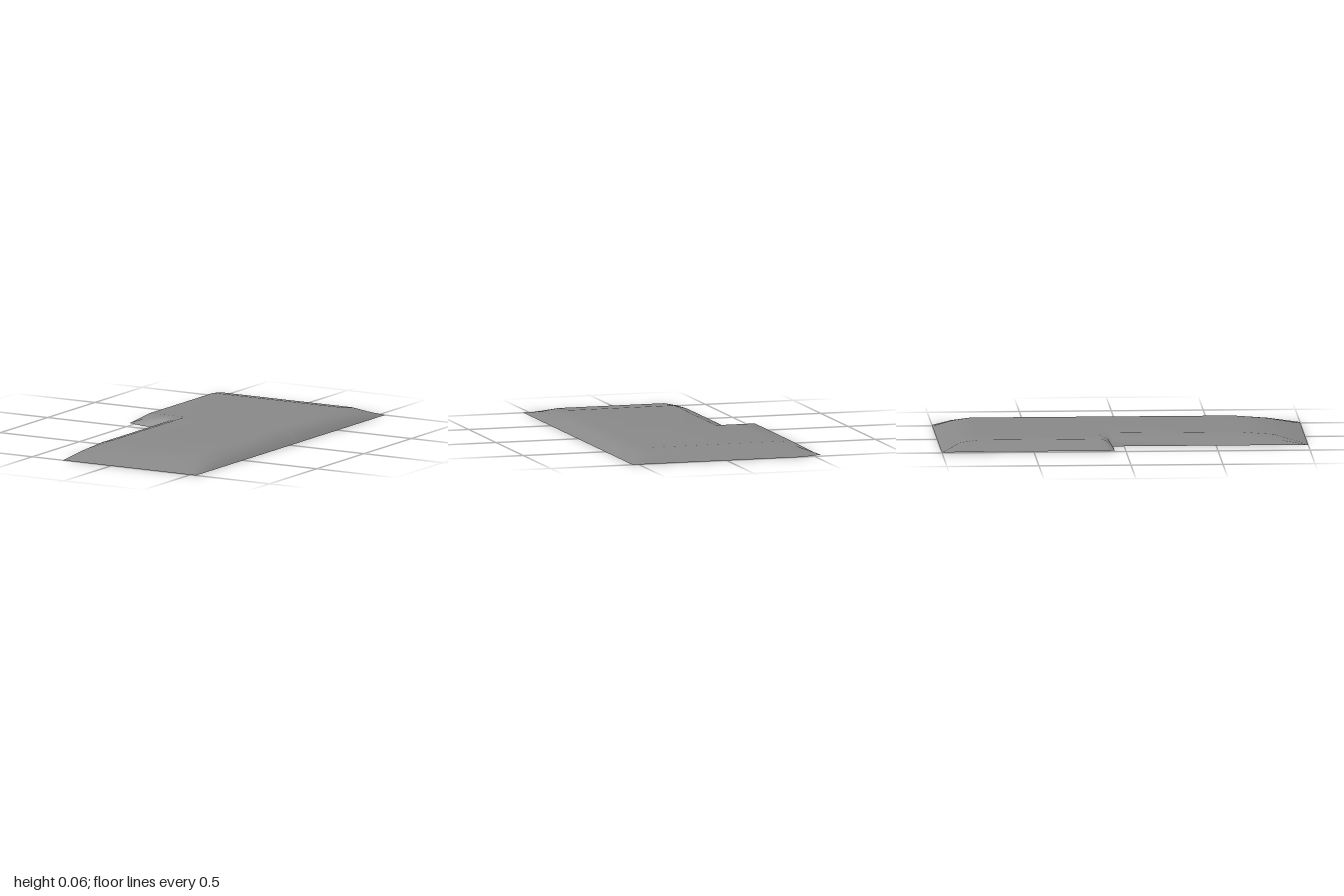
import * as THREE from 'three';

// Piecewise linear profile through [position, fraction of full height] points
function profile(points, p) {
  if (p <= points[0][0]) return points[0][1];
  for (let i = 1; i < points.length; i++) {
    const [a, ha] = points[i - 1], [b, hb] = points[i];
    if (p <= b) return ha + (hb - ha) * (p - a) / (b - a);
  }
  return points[points.length - 1][1];
}

const TOP = 0.06;
const NOTCH_X = -0.305, NOTCH_Z = -0.06;

// Sloped rims of the sheet
const alongX = [[0.39, 1], [0.49, 0.7], [0.535, 0]];
const alongZ = [[-1, 0], [-0.9, 0.75], [-0.8, 1], [0.63, 1], [0.82, 0.75], [1, 0]];
const outerRim = [[-0.52, 0], [-0.43, 1]];
const innerRim = [[NOTCH_X, 0], [-0.28, 0.67], [-0.21, 1]];
const notchRim = [[-0.13, 1], [-0.085, 0.67], [NOTCH_Z, 0]];

// Rims multiply, so the corners fall away softly
function height(x, z) {
  const side = Math.max(profile(innerRim, x), profile(outerRim, x) * profile(notchRim, z));
  return TOP * side * profile(alongX, x) * profile(alongZ, z);
}

export function createModel() {
  const xs = [...outerRim, ...innerRim, ...alongX].map(p => p[0]);
  const zs = [...alongZ.slice(0, 3), ...notchRim, ...alongZ.slice(3)].map(p => p[0]);
  const positions = [], indices = [], ids = new Map();

  // One shared vertex per grid crossing; the short outer edge is lifted and flares at the rear
  function vertex(i, j) {
    const key = i * 100 + j;
    if (!ids.has(key)) {
      ids.set(key, positions.length / 3);
      let x = xs[i], y = height(x, zs[j]);
      if (i === 0) {
        x -= [0.015, 0.007][j] ?? 0;
        y += 0.008;
      }
      positions.push(x, y, zs[j]);
    }
    return ids.get(key);
  }

  for (let i = 0; i < xs.length - 1; i++) {
    for (let j = 0; j < zs.length - 1; j++) {
      if (xs[i] < NOTCH_X && zs[j] >= NOTCH_Z) continue; // cut-out
      const a = vertex(i, j), b = vertex(i, j + 1), c = vertex(i + 1, j + 1), d = vertex(i + 1, j);
      // Diagonals follow the hips at the corners
      const rear = zs[j] < -0.5, left = xs[i] < 0;
      if (left === rear) indices.push(a, b, c, a, c, d);
      else indices.push(a, b, d, b, c, d);
    }
  }

  const geometry = new THREE.BufferGeometry();
  geometry.setAttribute('position', new THREE.Float32BufferAttribute(positions, 3));
  geometry.setIndex(indices);
  geometry.computeVertexNormals();

  const sheet = new THREE.Mesh(
    geometry,
    new THREE.MeshStandardMaterial({ color: 0x888888, side: THREE.DoubleSide })
  );
  sheet.name = 'slopedSheet';
  const group = new THREE.Group();
  group.name = 'notchedSheet';
  group.add(sheet);
  return group;
}
